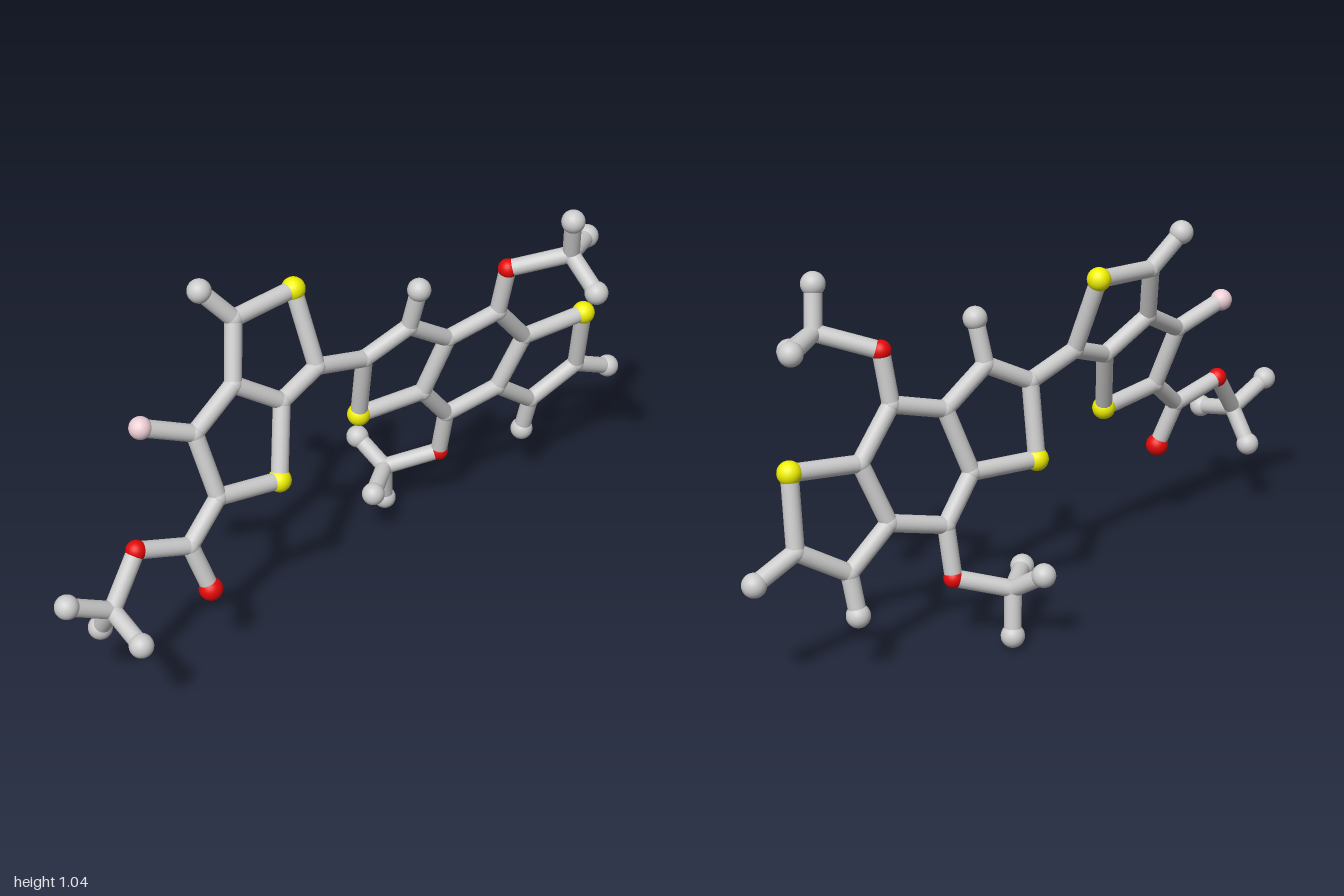
import * as THREE from 'three';

const BOND_RADIUS = 0.024;

// Atom kinds: colour and ball radius
const KINDS = {
  carbon: { color: 0xcccccc, radius: 0.026 },
  methyl: { color: 0xcccccc, radius: 0.033 },
  sulfur: { color: 0xf0f000, radius: 0.033 },
  oxygen: { color: 0xe60808, radius: 0.028 },
  carbonylOxygen: { color: 0xe60808, radius: 0.033 },
  fluorine: { color: 0xeccfd4, radius: 0.031 },
};

// The three-ring system lies on one tilted plane
const flat = (x, y) => [x, y, -0.191 + 0.141 * x + 0.213 * y];
// So does the two-ring system, leaning the other way
const lean = (x, y) => [x, y, 0.215 - 0.337 * y];

const ATOMS = {
  // Two fused five-sided rings
  a1: ['carbon', lean(-0.31, 0.92)],
  a2: ['sulfur', lean(-0.11, 0.935)],
  a3: ['carbon', lean(-0.09, 0.72)],
  a4: ['carbon', lean(-0.22, 0.67)],
  a5: ['carbon', lean(-0.355, 0.76)],
  a6: ['carbon', lean(-0.5, 0.68)],
  a7: ['carbon', lean(-0.475, 0.5)],
  a8: ['sulfur', lean(-0.28, 0.475)],
  aTip: ['methyl', [-0.39, 1.015, -0.13]],
  aPink: ['fluorine', [-0.645, 0.74, -0.045]],
  // Ester branch
  e1: ['carbon', [-0.585, 0.405, 0.07]],
  e2: ['carbonylOxygen', [-0.55, 0.27, 0.108]],
  e3: ['oxygen', [-0.74, 0.45, 0.052]],
  e4: ['carbon', [-0.84, 0.32, 0.08]],
  e5: ['methyl', [-0.967, 0.385, 0.07]],
  e6: ['methyl', [-0.84, 0.287, 0.212]],
  e7: ['methyl', [-0.84, 0.222, 0.013]],
  // Three fused rings
  b1: ['carbon', flat(0.08, 0.675)],
  b2: ['sulfur', flat(0.095, 0.465)],
  b3: ['carbon', flat(0.3, 0.475)],
  b4: ['carbon', flat(0.35, 0.655)],
  b5: ['carbon', flat(0.21, 0.745)],
  b6: ['carbon', flat(0.505, 0.7)],
  b7: ['carbon', flat(0.62, 0.57)],
  b8: ['carbon', flat(0.565, 0.4)],
  b9: ['carbon', flat(0.4, 0.355)],
  b10: ['carbon', flat(0.7, 0.3)],
  b11: ['carbon', flat(0.84, 0.39)],
  b12: ['sulfur', flat(0.82, 0.59)],
  bTop: ['methyl', flat(0.22, 0.87)],
  bLow: ['methyl', flat(0.695, 0.185)],
  bEnd: ['methyl', flat(0.967, 0.335)],
  // Upper branch
  u1: ['oxygen', [0.515, 0.845, 0.053]],
  u2: ['carbon', [0.645, 0.895, 0.165]],
  u3: ['methyl', [0.622, 1.015, 0.19]],
  u4: ['methyl', [0.65, 0.817, 0.268]],
  u5: ['methyl', [0.765, 0.883, 0.1]],
  // Lower branch
  d1: ['oxygen', [0.4, 0.21, -0.087]],
  d2: ['carbon', [0.265, 0.165, -0.172]],
  d3: ['methyl', [0.24, 0.23, -0.268]],
  d4: ['methyl', [0.152, 0.165, -0.082]],
  d5: ['methyl', [0.282, 0.037, -0.19]],
};

// Chains of bonded atoms, sorted by fragment
const CHAINS = {
  twoRingCore: ['a1 a2 a3 a4 a5 a1', 'a5 a6 a7 a8 a4', 'a1 aTip', 'a6 aPink'],
  esterBranch: ['a7 e1 e2', 'e1 e3 e4 e5', 'e4 e6', 'e4 e7'],
  threeRingCore: ['a3 b1 b2 b3 b4 b5 b1', 'b4 b6 b7 b8 b9 b3', 'b8 b10 b11 b12 b7',
    'b5 bTop', 'b10 bLow', 'b11 bEnd'],
  upperBranch: ['b6 u1 u2 u3', 'u2 u4', 'u2 u5'],
  lowerBranch: ['b9 d1 d2 d3', 'd2 d4', 'd2 d5'],
};

const FRAGMENT_OF = {
  a: 'twoRingCore', e: 'esterBranch', b: 'threeRingCore', u: 'upperBranch', d: 'lowerBranch',
};

export function createModel() {
  const model = new THREE.Group();
  model.name = 'molecule';
  const bondMaterial = new THREE.MeshStandardMaterial({ color: 0xcccccc });
  const bondGeometry = new THREE.CylinderGeometry(BOND_RADIUS, BOND_RADIUS, 1, 20, 1, true);
  const up = new THREE.Vector3(0, 1, 0);

  const balls = {};
  for (const [kind, { color, radius }] of Object.entries(KINDS)) {
    balls[kind] = {
      geometry: new THREE.SphereGeometry(radius, 24, 16),
      material: new THREE.MeshStandardMaterial({ color }),
    };
  }

  const fragments = {};
  for (const name of Object.keys(CHAINS)) {
    fragments[name] = new THREE.Group();
    fragments[name].name = name;
    model.add(fragments[name]);
  }

  // Atom balls
  for (const [id, [kind, position]] of Object.entries(ATOMS)) {
    const ball = new THREE.Mesh(balls[kind].geometry, balls[kind].material);
    ball.name = kind + 'Atom';
    ball.position.set(...position);
    fragments[FRAGMENT_OF[id[0]]].add(ball);
  }

  // Bond rods between neighbours in each chain
  for (const [name, chains] of Object.entries(CHAINS)) {
    for (const chain of chains) {
      const points = chain.split(' ').map((id) => new THREE.Vector3(...ATOMS[id][1]));
      for (let i = 1; i < points.length; i++) {
        const span = points[i].clone().sub(points[i - 1]);
        const rod = new THREE.Mesh(bondGeometry, bondMaterial);
        rod.name = 'bond';
        rod.position.copy(points[i - 1]).addScaledVector(span, 0.5);
        rod.scale.y = span.length();
        rod.quaternion.setFromUnitVectors(up, span.normalize());
        fragments[name].add(rod);
      }
    }
  }
  return model;
}
